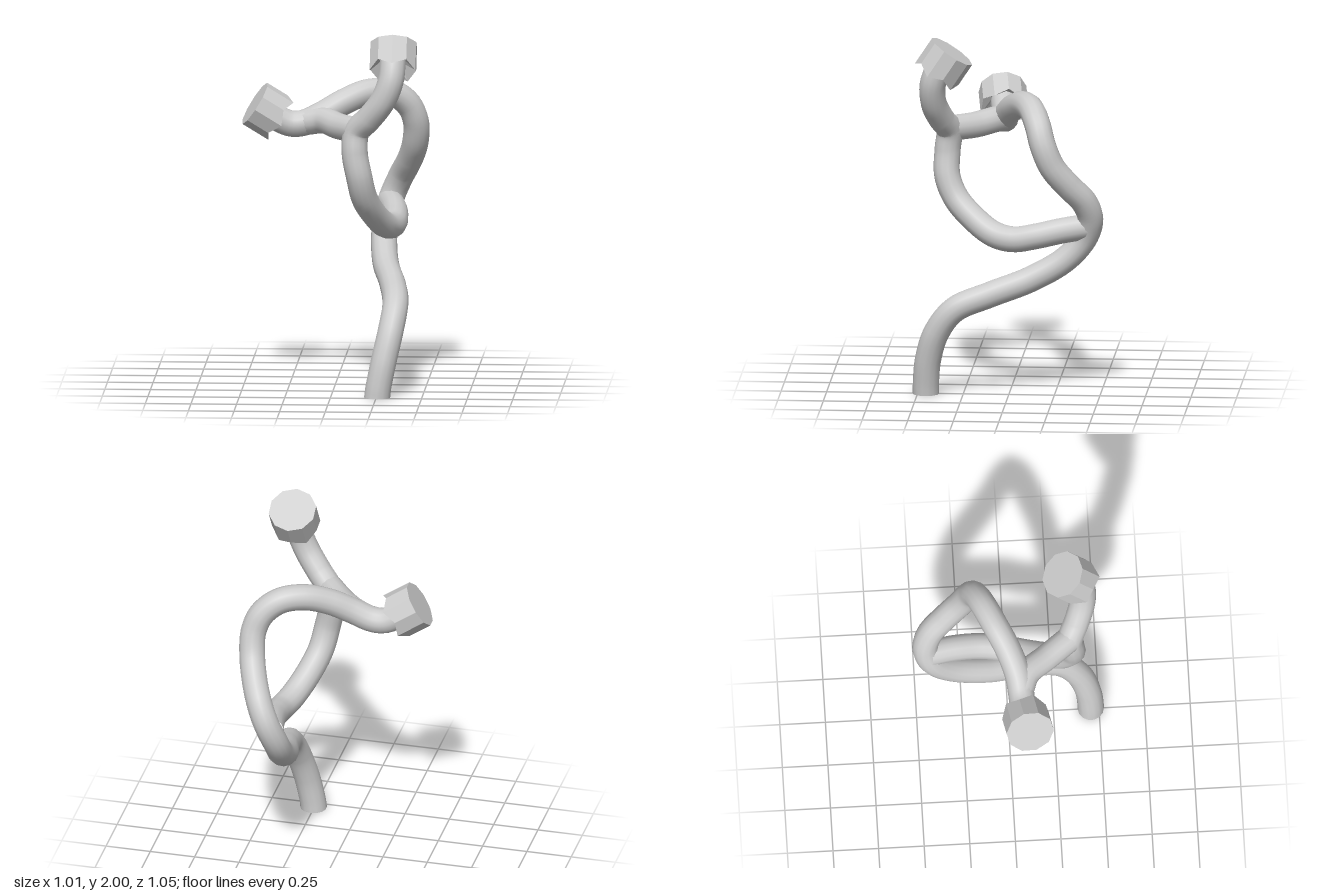
import * as THREE from 'three';

const stemMaterial = new THREE.MeshStandardMaterial({ color: 0xcccccc });
const capMaterial = new THREE.MeshStandardMaterial({ color: 0xcccccc, flatShading: true, side: THREE.DoubleSide });
const RADIUS = 0.072;

// Smooth round stem through a list of centre points
function makeStem(name, points, segments) {
  const curve = new THREE.CatmullRomCurve3(points.map((p) => new THREE.Vector3(...p)));
  const geometry = new THREE.TubeGeometry(curve, segments, RADIUS, 14);
  const pos = geometry.attributes.position;
  // Foot is trimmed level with the ground
  for (let i = 0; i < pos.count; i++) if (pos.getY(i) < 0.02) pos.setY(i, 0);
  const mesh = new THREE.Mesh(geometry, stemMaterial);
  mesh.name = name;
  return mesh;
}

// Ten-sided cap with a zigzag rim and a hollow underside
function makeCap(name, faceCentre, axis) {
  const profile = [[0.06, -0.08], [0.132, -0.15], [0.132, 0], [0, 0]].map((p) => new THREE.Vector2(...p));
  const sides = 10;
  const geometry = new THREE.LatheGeometry(profile, sides);
  const pos = geometry.attributes.position;
  for (let i = 0; i <= sides; i++) pos.setY(i * profile.length + 1, i % 2 ? -0.135 : -0.17);
  const mesh = new THREE.Mesh(geometry, capMaterial);
  mesh.name = name;
  mesh.position.set(...faceCentre);
  mesh.quaternion.setFromUnitVectors(new THREE.Vector3(0, 1, 0), new THREE.Vector3(...axis).normalize());
  return mesh;
}

export function createModel() {
  const model = new THREE.Group();
  model.name = 'twistedSprout';

  // Main stem: from the foot, round the back, over the top to the side cap
  model.add(makeStem('mainStem', [
    [0.253, 0, 0.455], [0.262, 0.06, 0.454], [0.29, 0.2, 0.44], [0.325, 0.36, 0.39], [0.345, 0.49, 0.29],
    [0.32, 0.57, 0.1], [0.27, 0.65, -0.12], [0.25, 0.76, -0.31], [0.255, 0.88, -0.415],
    [0.295, 1.0, -0.45], [0.34, 1.1, -0.42], [0.39, 1.2, -0.335], [0.425, 1.31, -0.25],
    [0.43, 1.43, -0.2], [0.39, 1.53, -0.17], [0.3, 1.6, -0.13], [0.18, 1.61, -0.075],
    [0.05, 1.565, -0.01], [-0.07, 1.5, 0.035], [-0.17, 1.455, 0.05], [-0.24, 1.45, 0.055],
    [-0.31, 1.48, 0.065], [-0.39, 1.535, 0.08],
  ], 130));

  // Side loop: leaves the back of the main stem, swings forward and up to the top cap
  model.add(makeStem('loopStem', [
    [0.275, 0.95, -0.43], [0.305, 0.93, -0.29], [0.32, 0.9, -0.15], [0.31, 0.88, -0.03],
    [0.275, 0.9, 0.08], [0.22, 0.98, 0.2], [0.175, 1.08, 0.295], [0.15, 1.2, 0.345],
    [0.125, 1.34, 0.345], [0.135, 1.45, 0.335], [0.205, 1.53, 0.375], [0.28, 1.63, 0.41],
    [0.325, 1.74, 0.412], [0.335, 1.83, 0.38], [0.335, 1.9, 0.33],
  ], 90));

  // Bridge joining the loop to the side branch
  model.add(makeStem('bridgeStem', [
    [-0.15, 1.46, 0.05], [-0.06, 1.475, 0.09], [0.03, 1.46, 0.2], [0.13, 1.46, 0.33],
  ], 20));

  // Closed end of the foot
  const foot = new THREE.Mesh(new THREE.CircleGeometry(RADIUS, 14), stemMaterial);
  foot.name = 'footEnd';
  foot.rotation.x = Math.PI / 2;
  foot.position.set(0.253, 0, 0.455);
  model.add(foot);

  model.add(makeCap('sideCap', [-0.437, 1.565, 0.085], [-0.83, 0.53, 0.13]));
  model.add(makeCap('topCap', [0.337, 1.93, 0.305], [0, 0.83, -0.55]));
  return model;
}
